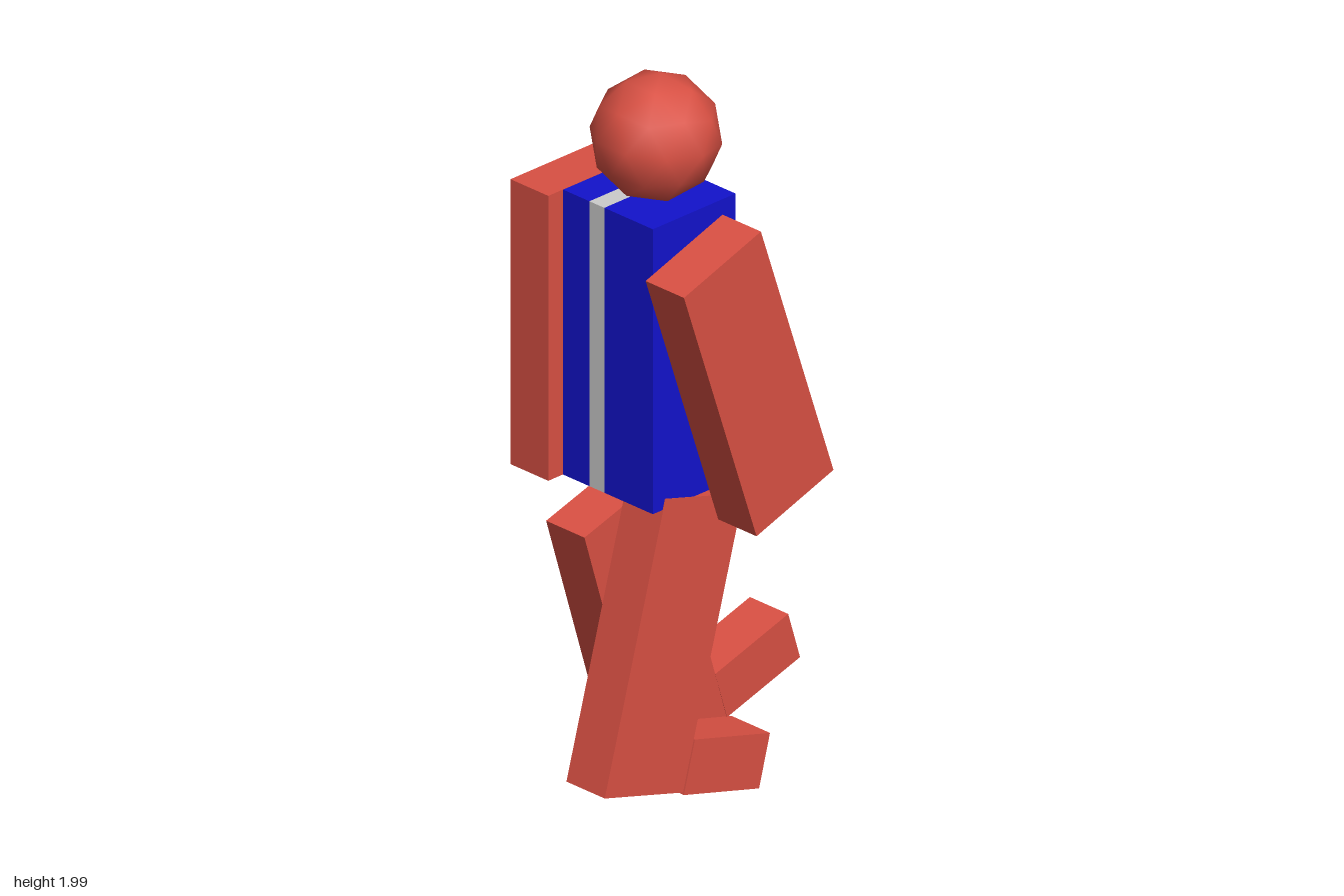
import * as THREE from 'three';
import { mergeVertices } from 'three/addons/utils/BufferGeometryUtils.js';

const red = new THREE.MeshStandardMaterial({ color: 0xd95043 });
const blue = new THREE.MeshStandardMaterial({ color: 0x1212cc });
const grey = new THREE.MeshStandardMaterial({ color: 0xcccccc });

export function createModel() {
  const model = new THREE.Group();
  model.name = 'walkingFigure';

  // Box of size [x, y, z] centred at position, tilted about z in degrees
  function block(name, material, size, position, tilt = 0) {
    const mesh = new THREE.Mesh(new THREE.BoxGeometry(...size), material);
    mesh.name = name;
    mesh.position.set(...position);
    mesh.rotation.z = THREE.MathUtils.degToRad(tilt);
    model.add(mesh);
  }

  // Torso: two blue slabs with a grey strip between them
  const slabs = [
    ['torsoFront', blue, -0.01, 0.162],
    ['torsoStripe', grey, -0.063, -0.01],
    ['torsoBack', blue, -0.156, -0.063],
  ];
  for (const [name, material, z0, z1] of slabs) {
    block(name, material, [0.29, 0.79, z1 - z0], [-0.145, 1.295, (z0 + z1) / 2]);
  }

  // Arms: the front one swings, the back one hangs straight
  block('frontArm', red, [0.285, 0.79, 0.136], [-0.073, 1.241, 0.25], 18.8);
  block('backArm', red, [0.285, 0.79, 0.134], [-0.17, 1.275, -0.253]);

  // Legs in mid stride, each with its foot
  block('frontLeg', red, [0.285, 0.787, 0.136], [-0.217, 0.511, 0.096], -15.7);
  block('frontFoot', red, [0.273, 0.146, 0.136], [-0.032, 0.12, 0.096], -15.2);
  block('backLeg', red, [0.283, 0.79, 0.136], [-0.061, 0.429, -0.127], 16.9);
  block('backFoot', red, [0.268, 0.14, 0.136], [0.304, 0.198, -0.135], 17.2);

  // Head: coarse ball with smooth normals
  const ball = new THREE.IcosahedronGeometry(0.168, 1);
  ball.deleteAttribute('uv');
  ball.deleteAttribute('normal');
  const headGeometry = mergeVertices(ball);
  headGeometry.computeVertexNormals();
  const head = new THREE.Mesh(headGeometry, red);
  head.name = 'head';
  head.position.set(-0.119, 1.836, 0);
  head.rotation.z = THREE.MathUtils.degToRad(-38);
  model.add(head);

  return model;
}
